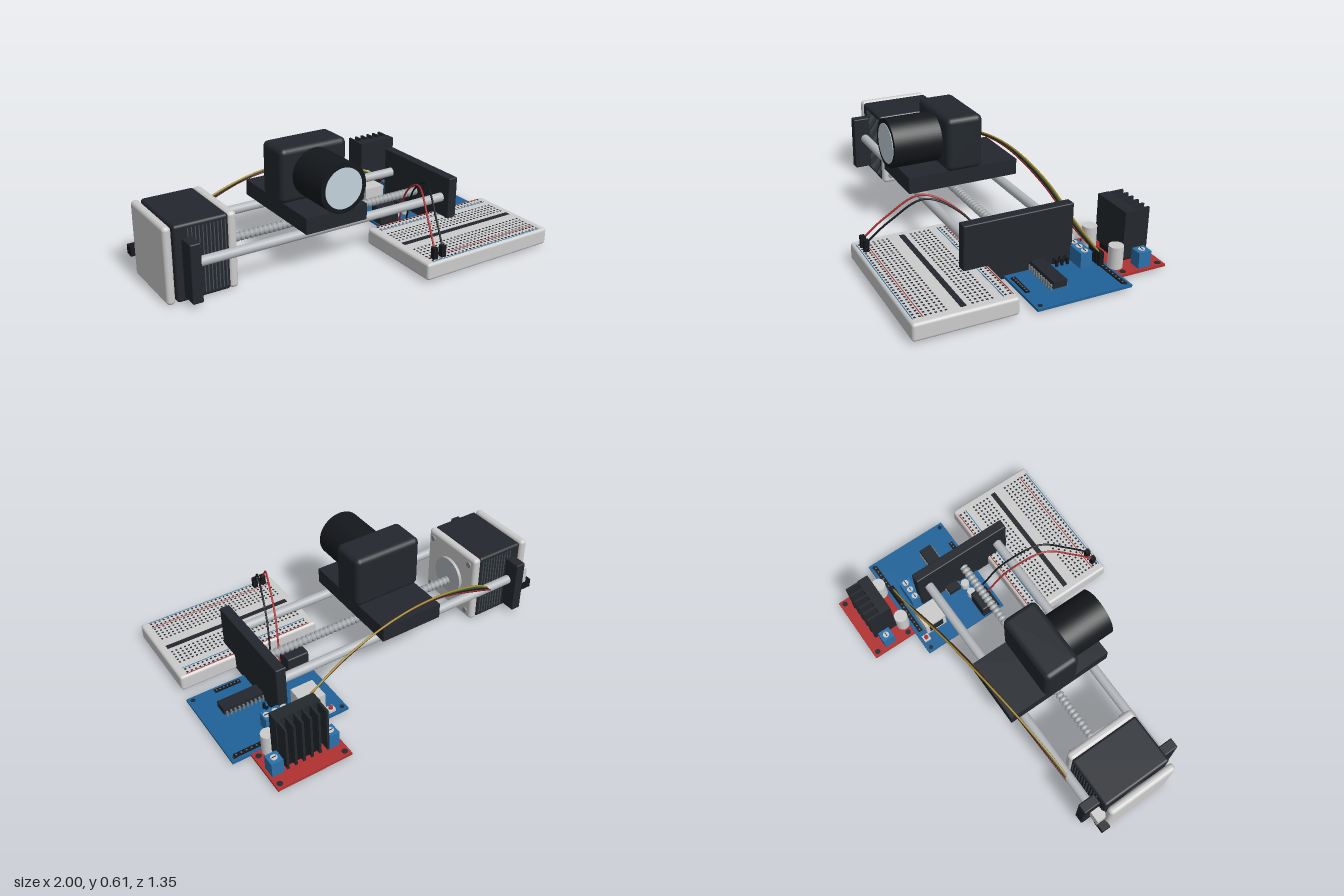
import * as THREE from 'three';
import { mergeGeometries } from 'three/addons/utils/BufferGeometryUtils.js';
import { RoundedBoxGeometry } from 'three/addons/geometries/RoundedBoxGeometry.js';

const mats = {};
const mat = (color) => (mats[color] ??= new THREE.MeshStandardMaterial({ color }));
const DARK = 0x23282e, BLACK = 0x15181c, LIGHT = 0xd4d4d4, STEEL = 0xb4b8bc;
const BLUE = 0x1f629a, TERMINAL = 0x2a70aa, RED = 0xb03030;

function add(parent, name, geometry, color) {
  const mesh = new THREE.Mesh(geometry, mat(color));
  mesh.name = name;
  parent.add(mesh);
  return mesh;
}

// Boxes are given by their limits on each axis; r rounds the edges
function box(parent, name, color, [x0, x1], [y0, y1], [z0, z1], r = 0) {
  const s = [x1 - x0, y1 - y0, z1 - z0];
  const g = r ? new RoundedBoxGeometry(...s, 3, r) : new THREE.BoxGeometry(...s);
  g.translate((x0 + x1) / 2, (y0 + y1) / 2, (z0 + z1) / 2);
  return add(parent, name, g, color);
}

function cyl(parent, name, color, axis, r, length, center, sides = 32) {
  const g = new THREE.CylinderGeometry(r, r, length, sides);
  if (axis === 'x') g.rotateZ(-Math.PI / 2);
  if (axis === 'z') g.rotateX(Math.PI / 2);
  g.translate(...center);
  return add(parent, name, g, color);
}

// Many equal small boxes merged into one mesh
function boxes(parent, name, color, size, centers) {
  const parts = centers.map((c) => new THREE.BoxGeometry(...size).translate(...c));
  return add(parent, name, mergeGeometries(parts), color);
}

function wire(parent, name, color, points, r = 0.005) {
  const curve = new THREE.CatmullRomCurve3(points.map((p) => new THREE.Vector3(...p)));
  return add(parent, name, new THREE.TubeGeometry(curve, 40, r, 8), color);
}

const row = (n, a, b) => Array.from({ length: n }, (_, i) => a + ((b - a) * i) / (n - 1));

function group(parent, name) {
  const g = new THREE.Group();
  g.name = name;
  parent.add(g);
  return g;
}

function buildMotor(root) {
  const g = group(root, 'stepperMotor');
  const y = 0.204;
  box(g, 'motorBody', DARK, [-0.93, -0.65], [0.006, 0.402], [-0.198, 0.198], 0.015);
  box(g, 'motorRearPlate', LIGHT, [-0.982, -0.938], [0.004, 0.404], [-0.2, 0.2], 0.02);
  box(g, 'motorFrontPlate', LIGHT, [-0.655, -0.607], [0.004, 0.404], [-0.2, 0.2], 0.02);
  cyl(g, 'motorCore', BLACK, 'x', 0.17, 0.06, [-0.93, y, 0]);
  cyl(g, 'motorBoss', STEEL, 'x', 0.105, 0.02, [-0.6, y, 0], 40);
  // Lamination ribs on the two long sides
  boxes(g, 'laminations', 0x4a5057, [0.005, 0.35, 0.006],
    [-1, 1].flatMap((s) => row(11, -0.86, -0.67).map((x) => [x, y, s * 0.198])));
  for (const sy of [-1, 1]) for (const sz of [-1, 1])
    cyl(g, 'plateBolt', 0x8a8e92, 'x', 0.016, 0.012, [-0.605, y + sy * 0.155, sz * 0.155], 16);
  box(g, 'motorSocket', LIGHT, [-0.955, -0.895], [0.16, 0.25], [-0.25, -0.19]);
  box(g, 'motorPlug', BLACK, [-1, -0.93], [0.105, 0.155], [-0.245, -0.195]);
}

function buildRail(root) {
  const g = group(root, 'linearRail');
  box(g, 'motorBracket', DARK, [-0.893, -0.838], [0.03, 0.335], [-0.29, 0.29], 0.006);
  box(g, 'endBracket', DARK, [0.618, 0.672], [0.012, 0.335], [-0.29, 0.29], 0.006);
  for (const s of [-1, 1])
    cyl(g, 'guideRod', STEEL, 'x', 0.025, 1.48, [-0.11, 0.21, s * 0.226]);
  // Lead screw: alternating crest and root radii along its length
  const profile = [new THREE.Vector2(0, 0)];
  const n = 46, pitch = 1.24 / n;
  for (let i = 0; i < n; i++)
    for (const [r, t] of [[0.016, 0], [0.016, 0.25], [0.024, 0.4], [0.024, 0.85]])
      profile.push(new THREE.Vector2(r, (i + t) * pitch));
  profile.push(new THREE.Vector2(0, 1.24));
  const screw = add(g, 'leadScrew', new THREE.LatheGeometry(profile, 20), 0xa4a8ac);
  screw.rotation.z = -Math.PI / 2;
  screw.position.set(-0.61, 0.168, 0);
}

function buildCamera(root) {
  const g = group(root, 'cameraCarriage');
  box(g, 'carriagePlate', DARK, [-0.29, 0.066], [0.242, 0.328], [-0.307, 0.307]);
  box(g, 'cameraBody', DARK, [-0.305, 0.083], [0.325, 0.615], [-0.1, 0.1], 0.03);
  cyl(g, 'lensBarrel', BLACK, 'z', 0.131, 0.27, [-0.111, 0.465, 0.225], 48);
  cyl(g, 'lensGlass', 0xc4d2da, 'z', 0.106, 0.01, [-0.111, 0.465, 0.358], 48);
}

function buildBreadboard(root) {
  const g = group(root, 'breadboard');
  box(g, 'boardBody', LIGHT, [0.18, 0.98], [0.016, 0.106], [0.16, 0.67], 0.015);
  box(g, 'centreGroove', DARK, [0.22, 0.94], [0.1, 0.108], [0.402, 0.43]);
  const zs = [0.185, 0.21, ...row(5, 0.275, 0.37), ...row(5, 0.495, 0.59), 0.617, 0.64];
  boxes(g, 'contactHoles', DARK, [0.01, 0.003, 0.01],
    zs.flatMap((z) => row(30, 0.23, 0.93).map((x) => [x, 0.1055, z])));
  for (const [z, c] of [[0.175, RED], [0.224, TERMINAL], [0.605, RED], [0.652, TERMINAL]])
    box(g, 'railStripe', c, [0.22, 0.94], [0.104, 0.107], [z - 0.002, z + 0.002]);
  for (const x of [0.25, 0.3])
    box(g, 'jumperPin', BLACK, [x - 0.013, x + 0.013], [0.1, 0.165], [0.615, 0.64]);
}

function screwTerminal(parent, xs, x, z) {
  box(parent, 'screwTerminal', TERMINAL, x, [0.03, 0.112], z);
  for (const sx of xs) {
    const sz = (z[0] + z[1]) / 2;
    cyl(parent, 'terminalScrew', LIGHT, 'y', 0.017, 0.006, [sx, 0.113, sz], 16);
    box(parent, 'screwSlot', DARK, [sx - 0.012, sx + 0.012], [0.114, 0.118], [sz - 0.002, sz + 0.002]);
  }
}

function buildController(root) {
  const g = group(root, 'controllerBoard');
  box(g, 'circuitBoard', BLUE, [0.352, 0.995], [0.018, 0.031], [-0.42, 0.08]);
  // Pin headers along both long edges
  const headers = [[18, 0.5, 0.96, -0.39], [7, 0.38, 0.49, 0.052], [7, 0.72, 0.84, 0.052]];
  for (const [n, a, b, z] of headers) {
    box(g, 'pinHeader', BLACK, [a - 0.012, b + 0.012], [0.03, 0.036], [z - 0.012, z + 0.012]);
    boxes(g, 'headerHoles', 0x6a6f74, [0.008, 0.002, 0.008], row(n, a, b).map((x) => [x, 0.0365, z]));
  }
  for (const [x, z] of [[0.375, -0.395], [0.375, 0.055], [0.97, -0.395], [0.97, 0.055]])
    cyl(g, 'mountingHole', DARK, 'y', 0.012, 0.016, [x, 0.0245, z], 16);
  // Main chip with its two rows of legs
  box(g, 'mainChip', DARK, [0.57, 0.89], [0.042, 0.076], [-0.132, -0.06]);
  boxes(g, 'chipLegs', 0x777c80, [0.01, 0.03, 0.008],
    [-0.137, -0.055].flatMap((z) => row(14, 0.585, 0.875).map((x) => [x, 0.045, z])));
  box(g, 'powerJack', DARK, [0.355, 0.478], [0.03, 0.13], [-0.052, 0.04], 0.008);
  box(g, 'usbPort', LIGHT, [0.45, 0.575], [0.03, 0.13], [-0.365, -0.24]);
  box(g, 'usbOpening', DARK, [0.448, 0.452], [0.05, 0.11], [-0.345, -0.26]);
  box(g, 'resetBase', LIGHT, [0.415, 0.453], [0.03, 0.045], [-0.405, -0.367]);
  cyl(g, 'resetButton', RED, 'y', 0.012, 0.012, [0.434, 0.049, -0.386], 16);
  for (const x of [0.51, 0.573])
    cyl(g, 'smallCapacitor', LIGHT, 'y', 0.023, 0.045, [x, 0.053, -0.03], 20);
  boxes(g, 'auxiliaryPins', BLACK, [0.012, 0.035, 0.012],
    [0.67, 0.7].flatMap((x) => row(3, -0.25, -0.19).map((z) => [x, 0.047, z])));
  screwTerminal(g, [0.655, 0.702, 0.749], [0.633, 0.77], [-0.342, -0.28]);
}

function buildDriver(root) {
  const g = group(root, 'driverBoard');
  box(g, 'circuitBoard', RED, [0.5, 0.9], [0.017, 0.03], [-0.678, -0.415]);
  for (const x of [0.525, 0.875]) for (const z of [-0.65, -0.45])
    cyl(g, 'mountingHole', DARK, 'y', 0.015, 0.015, [x, 0.0245, z], 16);
  box(g, 'heatSinkBase', DARK, [0.585, 0.82], [0.06, 0.31], [-0.545, -0.482]);
  boxes(g, 'heatSinkFins', DARK, [0.012, 0.25, 0.085], row(6, 0.595, 0.81).map((x) => [x, 0.185, -0.578]));
  box(g, 'driverChip', BLACK, [0.62, 0.785], [0.03, 0.085], [-0.575, -0.487]);
  screwTerminal(g, [0.55], [0.52, 0.582], [-0.6, -0.532]);
  screwTerminal(g, [0.853], [0.822, 0.885], [-0.6, -0.532]);
  for (const x of [0.585, 0.815])
    cyl(g, 'capacitor', LIGHT, 'y', 0.037, 0.117, [x, 0.086, -0.445], 28);
}

function buildWires(root) {
  const g = group(root, 'wiring');
  // Jumper wires arching from the breadboard to the controller
  [[0.25, RED], [0.3, BLACK]].forEach(([x, c]) =>
    wire(g, 'jumperWire', c, [[x, 0.15, 0.627], [x + 0.04, 0.26, 0.52], [x + 0.105, 0.373, 0.36],
      [x + 0.17, 0.26, 0.17], [x + 0.22, 0.04, 0.055]]));
  // Four-wire motor lead arching behind the camera
  [0x8e2424, BLACK, 0x2f5a34, 0xa8882c].forEach((c, i) => {
    const d = (i - 1.5) * 0.008;
    wire(g, 'motorWire', c, [[-0.72, 0.2, -0.238 + d / 2], [-0.6, 0.262 + d, -0.25 + d / 2],
      [-0.3, 0.35 + d / 2, -0.28], [0, 0.36 + d / 2, -0.31 - d / 2], [0.32, 0.28 + d, -0.342 - d / 2],
      [0.58, 0.15 + d, -0.368 - d / 2], [0.7 + i * 0.025, 0.09, -0.386]]);
    const x = 0.7 + i * 0.025;
    box(g, 'wirePin', BLACK, [x - 0.01, x + 0.01], [0.03, 0.1], [-0.4, -0.374]);
  });
}

export function createModel() {
  const root = new THREE.Group();
  root.name = 'motorisedCameraSlider';
  for (const build of [buildMotor, buildRail, buildCamera, buildBreadboard,
    buildController, buildDriver, buildWires]) build(root);
  return root;
}
